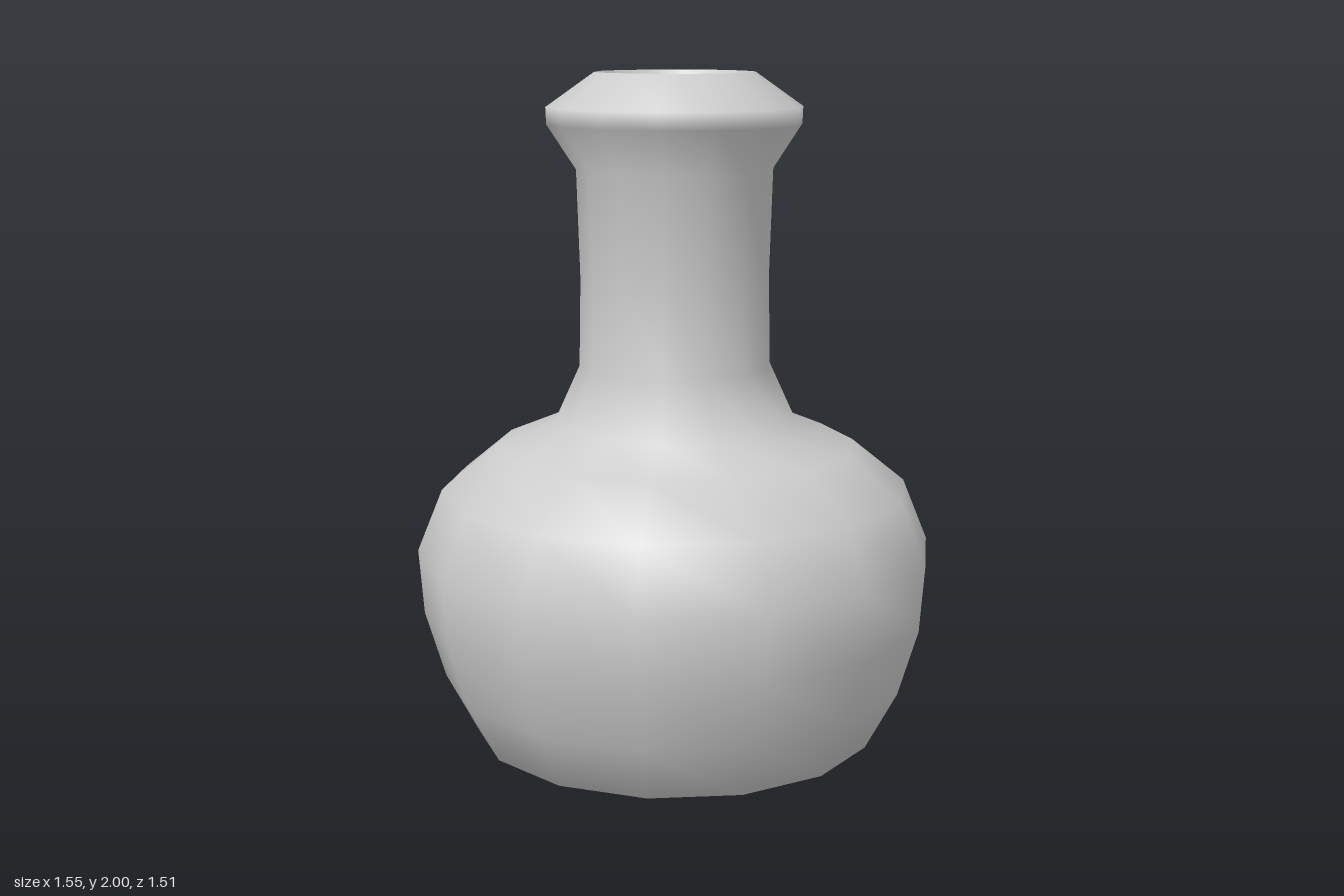
import * as THREE from 'three';

const SIDES = 14;

// Revolve a radius/height profile, with a corner on the +x axis
function revolve(name, profile, material) {
  const points = profile.map(([r, y]) => new THREE.Vector2(r, y));
  const mesh = new THREE.Mesh(new THREE.LatheGeometry(points, SIDES, Math.PI / 2), material);
  mesh.name = name;
  return mesh;
}

export function createModel() {
  const group = new THREE.Group();
  group.name = 'flask';
  const glass = new THREE.MeshStandardMaterial({ color: 0xcccccc, side: THREE.DoubleSide });
  const red = new THREE.MeshStandardMaterial({ color: 0xf20f0f, side: THREE.DoubleSide });

  // Hollow shell: base, bulb, neck and flared collar
  group.add(revolve('flaskShell', [
    [0, 0], [0.45, 0.003], [0.605, 0.012], [0.70, 0.19], [0.76, 0.39], [0.775, 0.585],
    [0.70, 0.77], [0.54, 0.90], [0.36, 0.975], [0.285, 1.14], [0.28, 1.4],
    [0.29, 1.72], [0.375, 1.85], [0.377, 1.9], [0.235, 2.0],
  ], glass));

  // Thin edge turned into the mouth
  group.add(revolve('mouthLip', [[0.235, 2.0], [0.227, 1.985]], glass));

  // Liquid surface inside the bulb
  const liquid = new THREE.Mesh(new THREE.CircleGeometry(0.7, SIDES), red);
  liquid.name = 'liquid';
  liquid.rotation.x = -Math.PI / 2;
  liquid.position.y = 0.75;
  group.add(liquid);

  return group;
}
